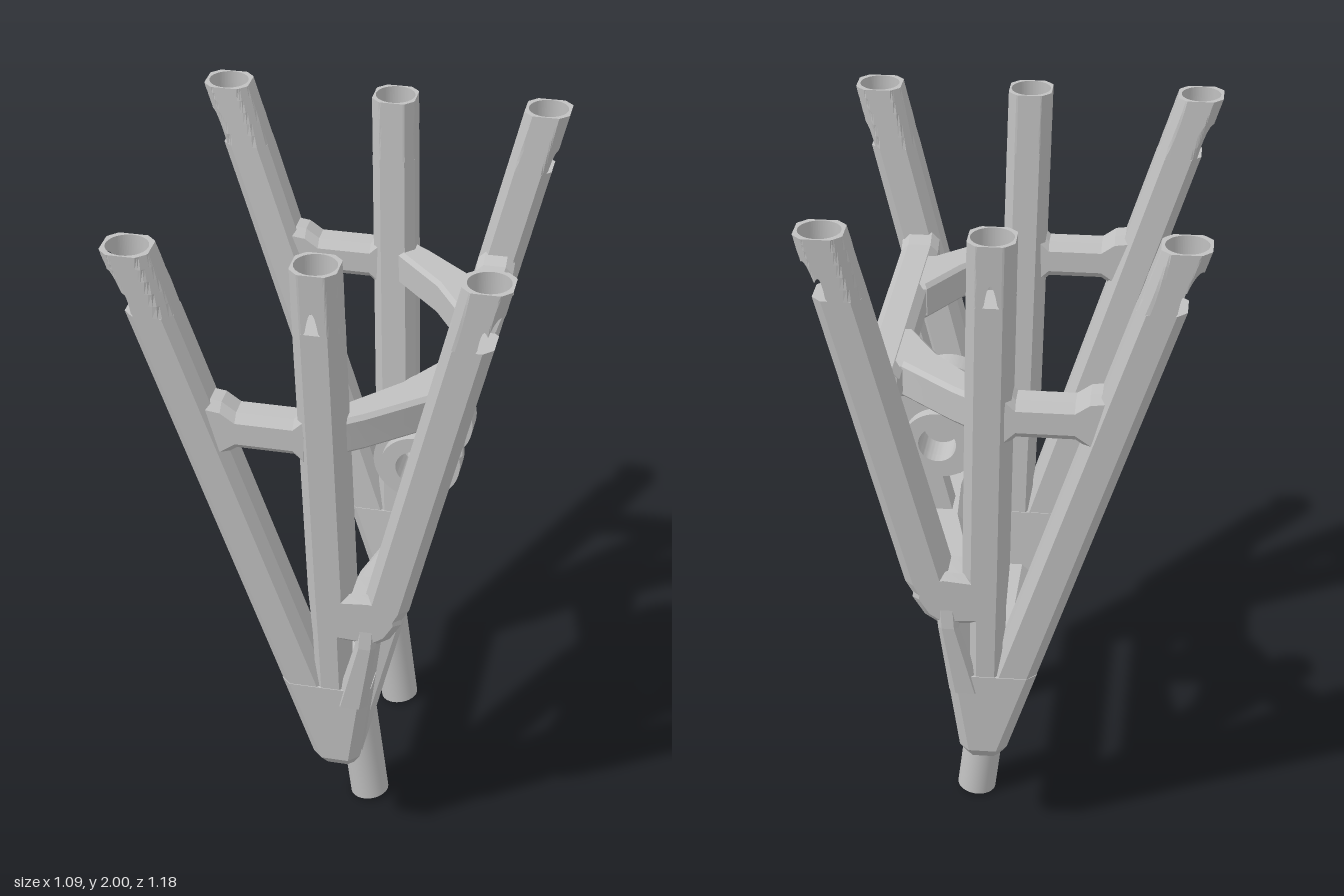
import * as THREE from 'three';
import { toCreasedNormals } from 'three/addons/utils/BufferGeometryUtils.js';

const grey = new THREE.MeshStandardMaterial({ color: 0xc0c0c0 });
const SOCKET_Y = 1.82, BORE = 0.058, HALF = 0.0635, WIDE = 0.0665, CHAMFER = 0.42, LEAN = 0.0485;

// The side frames lean outward: z of their centre plane at height y
const sideZ = (y) => 0.527 + LEAN * (y - 2);

function flatMesh(tris, name) {
  const g = new THREE.BufferGeometry();
  g.setAttribute('position', new THREE.Float32BufferAttribute(tris.flat(2), 3));
  g.computeVertexNormals();
  const m = new THREE.Mesh(g, grey);
  m.name = name;
  return m;
}

// Closed skin through equal-sized convex sections, turned outward by its signed volume
function loft(sections, name) {
  const t = [], n = sections[0].length, last = sections[sections.length - 1];
  for (let s = 0; s + 1 < sections.length; s++) {
    const a = sections[s], b = sections[s + 1];
    for (let i = 0; i < n; i++) {
      const j = (i + 1) % n;
      t.push([a[i], a[j], b[j]], [a[i], b[j], b[i]]);
    }
  }
  for (let i = 1; i + 1 < n; i++) {
    t.push([sections[0][0], sections[0][i + 1], sections[0][i]]);
    t.push([last[0], last[i], last[i + 1]]);
  }
  let vol = 0;
  for (const [a, b, c] of t) {
    vol += new THREE.Vector3(...a).dot(new THREE.Vector3(...b).cross(new THREE.Vector3(...c)));
  }
  if (vol < 0) t.forEach((f) => f.reverse());
  return flatMesh(t, name);
}

// Rectangle with chamfered corners
function octagon(hu, hv, k = CHAMFER) {
  const c = Math.min(hu, hv) * k, u = hu - c, v = hv - c;
  return [[hu, -v], [hu, v], [u, hv], [-u, hv], [-hu, v], [-hu, -v], [-u, -hv], [u, -hv]];
}

// Leaning post from horizontal sections: rows of [y, x, halfX, halfZ]
function post(rows, side, name) {
  return loft(rows.map(([y, x, hx = HALF, hz = HALF]) =>
    octagon(hx, hz).map(([u, v]) => [x + u, y, side * sideZ(y) + v])), name);
}

// Top of a leaning post; its upright round bore breaks through the wall as an arched notch
function socket(x, slope, hx, side, name) {
  const N = 80, L = 5, t = [], columns = [], z = side * sideZ(2);
  const walls = Array.from({ length: 8 }, (_, k) => {
    const nx = Math.cos(k * Math.PI / 4), nz = Math.sin(k * Math.PI / 4);
    const dist = k % 2 ? (hx + HALF * (1 - CHAMFER)) * Math.SQRT1_2 : (k % 4 ? HALF : hx);
    return { nx, nz, dist, drift: nx * slope + nz * side * LEAN };
  });
  for (let i = 0; i < N; i++) {
    const a = i / N * 2 * Math.PI, dx = Math.cos(a), dz = Math.sin(a);
    // Height below which the bore lies outside the wall at this angle
    let low = SOCKET_Y;
    for (const w of walls) {
      if (w.drift > 1e-6) low = Math.max(low, 2 + (BORE * (w.nx * dx + w.nz * dz) - w.dist) / w.drift);
    }
    const column = [];
    for (let l = 0; l <= L; l++) {
      const y = low + (2 - low) * l / L;
      let r = Infinity;
      for (const w of walls) {
        const d = w.nx * dx + w.nz * dz;
        if (d > 1e-6) r = Math.min(r, (w.dist + w.drift * (y - 2)) / d);
      }
      const at = (q) => [x + q * dx, y, z + q * dz];
      column.push({ outer: at(r), inner: at(BORE) });
    }
    columns.push(column);
  }
  for (let i = 0; i < N; i++) {
    const p = columns[i], q = columns[(i + 1) % N];
    for (let l = 0; l < L; l++) {
      const a = p[l], b = q[l], c = p[l + 1], d = q[l + 1];
      t.push([a.outer, c.outer, b.outer], [b.outer, c.outer, d.outer]);
      t.push([a.inner, b.inner, c.inner], [b.inner, d.inner, c.inner]);
    }
    t.push([p[L].inner, q[L].inner, q[L].outer], [p[L].inner, q[L].outer, p[L].outer]);
  }
  return flatMesh(t, name);
}

function extrude(shape, depth, bevel, name) {
  const g = new THREE.ExtrudeGeometry(shape, {
    depth: depth - 2 * bevel, bevelEnabled: bevel > 0, bevelSize: bevel, bevelThickness: bevel,
    bevelOffset: -bevel, bevelSegments: 1, curveSegments: 32,
  });
  g.translate(0, 0, bevel);
  const m = new THREE.Mesh(toCreasedNormals(g, 0.4), grey);
  m.name = name;
  return m;
}
const polygon = (pts) => new THREE.Shape(pts.map(([x, y]) => new THREE.Vector2(x, y)));

export function createModel() {
  const model = new THREE.Group();
  model.name = 'supportFrame';
  const add = (m) => (model.add(m), m);

  for (const s of [1, -1]) {
    // Three upright posts and the lower strut, merging into a solid foot
    const cut = 2 - SOCKET_Y;
    add(post([[SOCKET_Y, -0.477 + 0.327 * cut, WIDE], [0.4, 0.046, WIDE]], s, 'outerPost'));
    add(post([[SOCKET_Y, 0.026 + 0.0286 * cut], [0.95, 0.056], [0.8, 0.052, 0.047], [0.5, 0.06, 0.045]], s, 'middlePost'));
    add(post([[SOCKET_Y, 0.478 - 0.242 * cut, WIDE], [0.92, 0.216, WIDE], [0.84, 0.187, 0.05]], s, 'innerPost'));
    add(post([[0.84, 0.164, 0.03], [0.78, 0.16, 0.03, 0.07], [0.55, 0.115, 0.048, 0.07]], s, 'lowerStrut'));
    add(post([[0.61, 0.041, 0.131, 0.066], [0.34, 0.068, 0.069, 0.07], [0.295, 0.07, 0.045, 0.035]], s, 'foot'));
    add(socket(-0.477, -0.327, WIDE, s, 'outerPostSocket'));
    add(socket(0.026, -0.0286, HALF, s, 'middlePostSocket'));
    add(socket(0.478, 0.242, WIDE, s, 'innerPostSocket'));

    // Short tie between outer and middle posts, flared at both ends
    add(loft([[-0.28, 0.09], [-0.235, 0.084], [-0.195, 0.056], [-0.035, 0.056], [-0.005, 0.085]].map(([x, h]) =>
      octagon(h, 0.052, 0.45).map(([u, v]) => [x, 1.472 + u, s * 0.505 + v])), 'sideTie'));

    // Joint linking the middle and inner posts, leaning with them
    const joint = extrude(polygon([[0.05, 0.79], [0.185, 0.782], [0.228, 0.812], [0.262, 0.87],
      [0.25, 0.95], [0.17, 0.962], [0.05, 0.95]]), 2 * HALF, 0.02, 'lowerJoint');
    const lean = new THREE.Matrix4().set(1, 0, 0, 0, 0, 1, 0, 0, 0, s * LEAN, 1, s * sideZ(0) - HALF, 0, 0, 0, 1);
    joint.geometry.applyMatrix4(lean);
    add(joint);

    // Diagonal brace from the middle post to the upper crossbar
    const brace = extrude(polygon([[0.03, 0.47], [0.08, 0.415], [0.205, 0.28], [0.295, 0.135], [0.35, 0.135],
      [0.35, 0.35], [0.3, 0.352], [0.15, 0.48], [0.08, 0.53]].map(([x, z]) => [x, s * z])), 0.11, 0.012, 'upperBrace');
    brace.rotation.x = Math.PI / 2;
    brace.position.y = 1.528;
    add(brace);
  }

  // Crossbars
  add(loft([[-0.45, 0.08], [-0.41, 0.056], [0.41, 0.056], [0.45, 0.08]].map(([z, h]) =>
    octagon(0.056, h, 0.4).map(([u, v]) => [0.354 + u, 1.474 + v, z])), 'upperCrossbar'));
  add(loft([[-0.46, 0.1], [-0.35, 0.11], [-0.17, 0.155], [0, 0.165], [0.17, 0.155], [0.35, 0.11], [0.46, 0.1]].map(([z, x]) =>
    [[x, 0.83], [0.2, 0.812], [0.238, 0.832], [0.266, 0.912], [0.248, 0.938], [x + 0.02, 0.938], [x, 0.915]]
      .map(([u, v]) => [u, v, z])), 'lowerCrossbar'));
  add(loft([-0.45, 0.45].map((z) =>
    octagon(0.064, 0.062, 0.5).map(([u, v]) => [0.072 + u, 0.358 + v, z])), 'footCrossbar'));

  // Twin bearing plates with bored eyes
  const eye = (shape) => {
    shape.holes.push(new THREE.Path().absarc(0.23, 1.175, 0.055, 0, 2 * Math.PI, true));
    return shape;
  };
  const deg = Math.PI / 180;
  const plate = new THREE.Shape();
  plate.moveTo(0.18, 0.88);
  plate.lineTo(0.265, 0.88);
  plate.absarc(0.23, 1.175, 0.126, -47 * deg, 20 * deg, false);
  plate.lineTo(0.4, 1.45);
  plate.lineTo(0.315, 1.45);
  plate.absarc(0.23, 1.175, 0.126, 67.5 * deg, 265.5 * deg, false);
  plate.closePath();
  eye(plate);
  const boss = eye(new THREE.Shape().absarc(0.23, 1.175, 0.1, 0, 2 * Math.PI, false));
  for (const s of [1, -1]) {
    add(extrude(plate, 0.077, 0, 'bearingPlate')).position.z = s > 0 ? 0.068 : -0.145;
    add(extrude(boss, 0.035, 0, 'bearingBoss')).position.z = s > 0 ? 0.145 : -0.18;
  }

  // Hollow mounting pegs under the foot
  const profile = [[0, 0.12], [0.026, 0.12], [0.026, 0], [0.058, 0], [0.058, 0.34]].map(([r, y]) => new THREE.Vector2(r, y));
  const pegGeometry = toCreasedNormals(new THREE.LatheGeometry(profile, 32), 0.6);
  for (const z of [0.242, -0.238]) {
    const peg = new THREE.Mesh(pegGeometry, grey);
    peg.name = 'mountingPeg';
    peg.position.set(0.119, 0.0075, z);
    peg.rotation.z = 0.125;
    add(peg);
  }
  return model;
}
